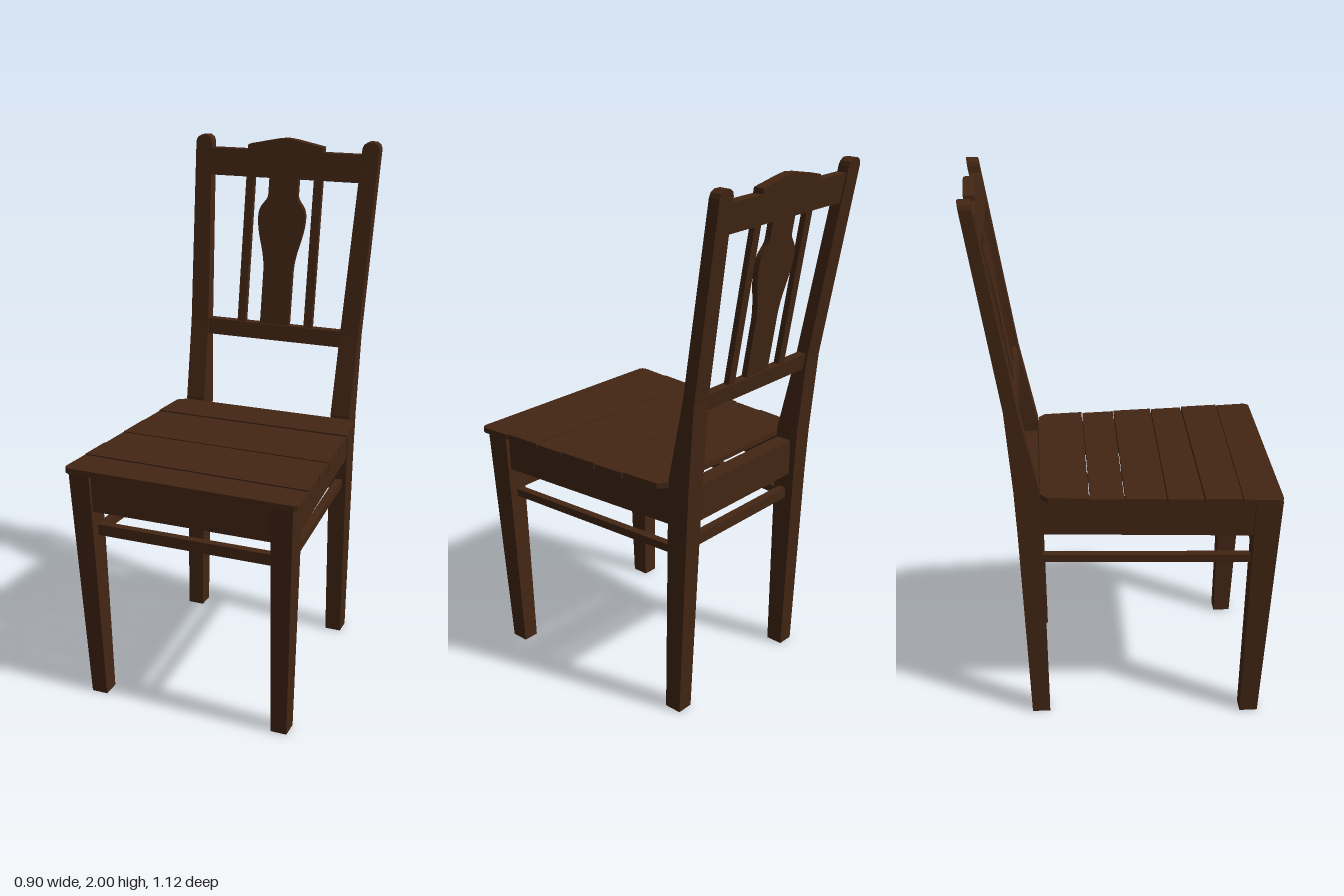
import * as THREE from 'three';

const wood = new THREE.MeshStandardMaterial({ color: 0x432614, flatShading: true });

function add(group, name, geometry) {
  const mesh = new THREE.Mesh(geometry, wood);
  mesh.name = name;
  group.add(mesh);
  return mesh;
}

// Tapered post through rectangular sections [y, xInner, xOuter, zBack, zFront], listed upward
function post(sections, side) {
  const n = sections.length - 1;
  const geo = new THREE.BoxGeometry(1, 1, 1, 1, n, 1);
  const p = geo.attributes.position;
  for (let i = 0; i < p.count; i++) {
    const [y, xi, xo, zb, zf] = sections[Math.round((p.getY(i) + 0.5) * n)];
    const outer = p.getX(i) * side > 0;
    p.setXYZ(i, side * (outer ? xo : xi), y, p.getZ(i) > 0 ? zf : zb);
  }
  geo.computeVertexNormals();
  return geo;
}

// Horizontal board: plan outline of [x, z] corners between two heights
function slab(outline, y0, y1) {
  const shape = new THREE.Shape(outline.map(([x, z]) => new THREE.Vector2(x, -z)));
  const geo = new THREE.ExtrudeGeometry(shape, { depth: y1 - y0, bevelEnabled: false });
  return geo.rotateX(-Math.PI / 2).translate(0, y0, 0);
}

// Upright board in the leaning plane of the backrest
function backBoard(shape, thickness) {
  const geo = new THREE.ExtrudeGeometry(shape, { depth: thickness, bevelEnabled: false, curveSegments: 10 });
  geo.translate(0, 0, -thickness / 2);
  const p = geo.attributes.position;
  for (let i = 0; i < p.count; i++) {
    p.setZ(i, p.getZ(i) - 0.415 - 0.165 * (p.getY(i) - 1.27));
  }
  geo.computeVertexNormals();
  return geo;
}

const polygon = (pts) => new THREE.Shape(pts.map(([x, y]) => new THREE.Vector2(x, y)));
const rect = (x0, x1, y0, y1) => polygon([[x0, y0], [x1, y0], [x1, y1], [x0, y1]]);

export function createModel() {
  const chair = new THREE.Group();
  chair.name = 'chair';

  // Legs, side aprons and side stretchers
  for (const s of [1, -1]) {
    const side = s > 0 ? 'left' : 'right';
    add(chair, side + 'FrontLeg', post([
      [0, 0.335, 0.397, 0.427, 0.495],
      [0.917, 0.347, 0.427, 0.45, 0.547],
    ], s));
    add(chair, side + 'BackPost', post([
      [0, 0.283, 0.347, -0.373, -0.306],
      [0.78, 0.276, 0.35, -0.406, -0.317],
      [0.95, 0.275, 0.352, -0.415, -0.322],
      [1.26, 0.283, 0.358, -0.44, -0.39],
      [1.975, 0.314, 0.382, -0.556, -0.513],
      [1.99, 0.32, 0.376, -0.558, -0.515],
      [2, 0.335, 0.361, -0.56, -0.517],
    ], s));
    const strip = (xf, xb, w) => [[s * xf, 0.48], [s * (xf - w), 0.48], [s * (xb - w), -0.34], [s * xb, -0.34]];
    add(chair, side + 'Apron', slab(strip(0.413, 0.345, 0.035), 0.775, 0.915));
    add(chair, side + 'Stretcher', slab(strip(0.388, 0.332, 0.03), 0.652, 0.682));
  }

  // Cross members between the legs: [name, half width, back z, front z, bottom, top]
  const rails = [
    ['frontApron', 0.36, 0.498, 0.53, 0.775, 0.915],
    ['backApron', 0.29, -0.385, -0.325, 0.775, 0.915],
    ['frontStretcher', 0.36, 0.465, 0.495, 0.668, 0.71],
    ['backStretcher', 0.29, -0.37, -0.34, 0.668, 0.71],
  ];
  for (const [name, w, z0, z1, y0, y1] of rails) {
    add(chair, name, slab([[-w, z0], [w, z0], [w, z1], [-w, z1]], y0, y1));
  }

  // Seat planks with slightly skewed seams: [z at right side, z at left side]
  const seat = new THREE.Group();
  seat.name = 'seat';
  chair.add(seat);
  const seams = [[-0.32, -0.32], [-0.145, -0.141], [-0.02, -0.01], [0.131, 0.146], [0.264, 0.273], [0.4, 0.424], [0.545, 0.56]];
  const half = (z) => 0.408 + 0.0765 * z;
  const gap = 0.002;
  for (let i = 0; i < 6; i++) {
    const [r0, l0] = seams[i].map((z) => z + (i > 0 ? gap : 0));
    const [r1, l1] = seams[i + 1].map((z) => z - (i < 5 ? gap : 0));
    const back = i === 0
      ? [[-half(-0.295), -0.295], [-0.353, r0], [0.353, l0], [half(-0.295), -0.295]]
      : [[-half(r0), r0], [half(l0), l0]];
    const front = i === 5
      ? [[half(l1), l1 - 0.02], [half(l1) - 0.006, l1 - 0.006], [half(l1) - 0.02, l1],
        [-half(r1) + 0.02, r1], [-half(r1) + 0.006, r1 - 0.006], [-half(r1), r1 - 0.02]]
      : [[half(l1), l1], [-half(r1), r1]];
    const lift = [0.004, 0, 0.002, 0, 0.003, 0][i];
    add(seat, 'seatPlank' + (i + 1), slab([...back, ...front], 0.915 + lift, 0.936 + lift));
  }

  // Backrest rails
  add(chair, 'lowerBackRail', backBoard(rect(-0.3, 0.3, 1.213, 1.275), 0.036));
  add(chair, 'crestRail', backBoard(polygon([
    [-0.33, 1.847], [0.33, 1.847], [0.33, 1.952], [0.156, 1.952], [0.156, 1.972], [0.04, 1.995], [0, 2],
    [-0.04, 1.995], [-0.156, 1.972], [-0.156, 1.952], [-0.33, 1.952],
  ]), 0.04));

  // Slats and vase-shaped splat
  for (const s of [1, -1]) {
    add(chair, s > 0 ? 'leftSlat' : 'rightSlat', backBoard(rect(s * 0.142 - 0.017, s * 0.142 + 0.017, 1.265, 1.86), 0.022));
  }
  const splat = new THREE.Shape();
  splat.moveTo(-0.061, 1.265);
  splat.lineTo(0.061, 1.265);
  splat.lineTo(0.061, 1.49);
  splat.bezierCurveTo(0.064, 1.57, 0.098, 1.62, 0.098, 1.695);
  splat.bezierCurveTo(0.098, 1.75, 0.062, 1.75, 0.061, 1.785);
  splat.lineTo(0.061, 1.86);
  splat.lineTo(-0.061, 1.86);
  splat.lineTo(-0.061, 1.785);
  splat.bezierCurveTo(-0.062, 1.75, -0.098, 1.75, -0.098, 1.695);
  splat.bezierCurveTo(-0.098, 1.62, -0.064, 1.57, -0.061, 1.49);
  add(chair, 'splat', backBoard(splat, 0.022));

  return chair;
}
